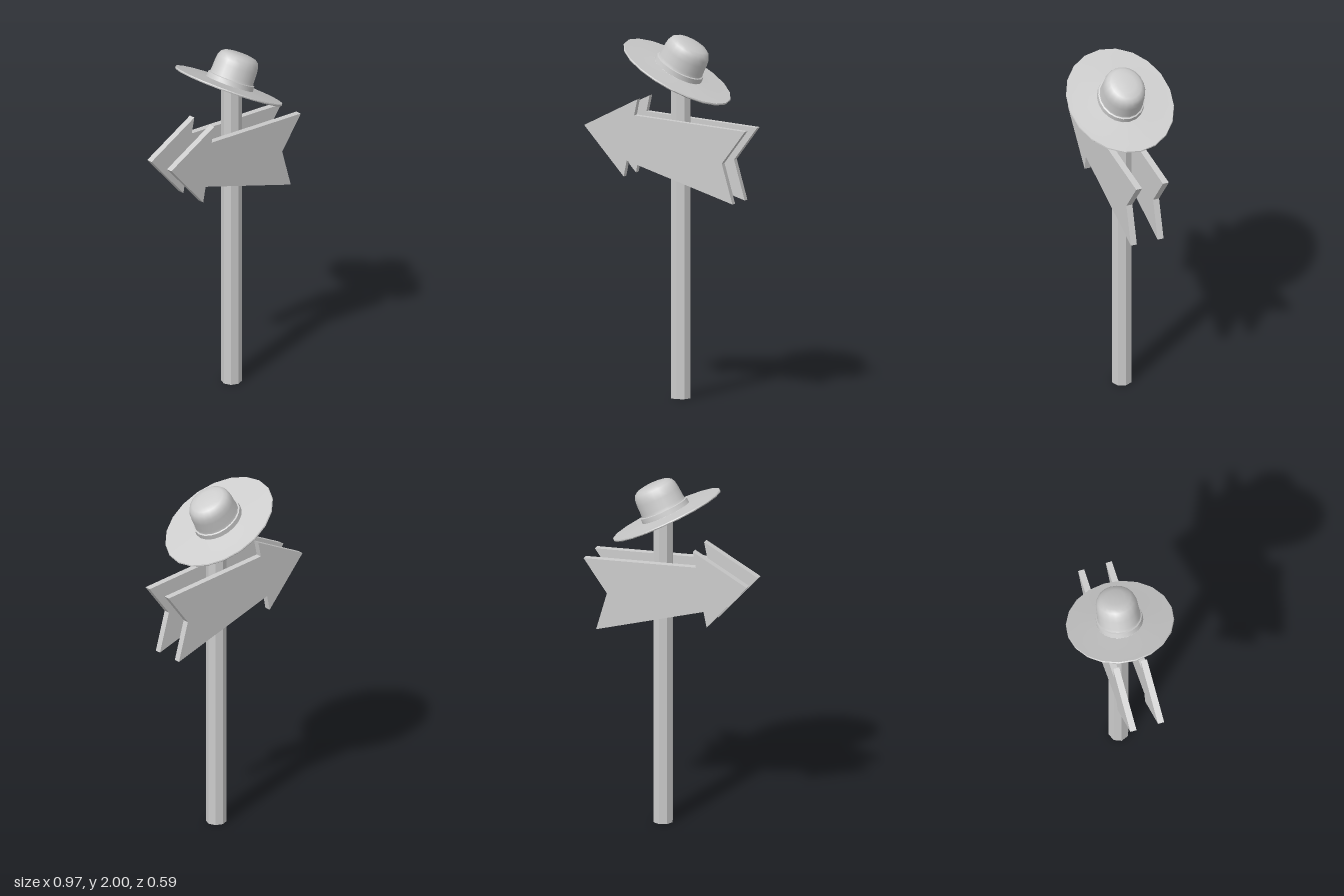
import * as THREE from 'three';
import { toCreasedNormals } from 'three/addons/utils/BufferGeometryUtils.js';

const grey = new THREE.MeshStandardMaterial({ color: 0xcccccc });

function addPart(group, name, geometry) {
  const mesh = new THREE.Mesh(geometry, grey);
  mesh.name = name;
  group.add(mesh);
  return mesh;
}

export function createModel() {
  const model = new THREE.Group();
  model.name = 'signpost';

  // Eight-sided post, ending inside the hat
  const postTop = 1.85;
  const post = addPart(model, 'post',
    toCreasedNormals(new THREE.CylinderGeometry(0.057, 0.057, postTop, 8), 0.5));
  post.position.set(0.05, postTop / 2, -0.003);

  // Two matching arrow boards, in front of and behind the post
  const outline = [
    [-0.488, 1.484], [-0.25, 1.215], [-0.232, 1.304], [0.405, 1.104],
    [0.341, 1.325], [0.48, 1.51], [-0.187, 1.557], [-0.168, 1.647],
  ].map(([x, y]) => new THREE.Vector2(x, y));
  const board = new THREE.ExtrudeGeometry(new THREE.Shape(outline), {
    depth: 0.035, bevelEnabled: false,
  });
  addPart(model, 'frontArrow', board).position.z = 0.056;
  addPart(model, 'backArrow', board).position.z = -0.102;

  // Tilted oval hat
  const hat = new THREE.Group();
  hat.name = 'hat';
  hat.position.set(0.028, 1.797, -0.002);
  hat.rotation.z = -0.494;
  hat.scale.z = 0.89;
  model.add(hat);

  // One shell: hollow inside, underside of the brim, rim, then up over the crown
  const profile = [
    [0, 0.175], [0.09, 0.165], [0.118, 0.125], [0.125, -0.004],
    [0.25, -0.008], [0.329, -0.006], [0.333, 0], [0.33, 0.006],
    [0.25, 0.008], [0.146, 0.014],
    [0.138, 0.022], [0.132, 0.06], [0.13, 0.115], [0.126, 0.145],
    [0.115, 0.168], [0.095, 0.182], [0.06, 0.189], [0, 0.191],
  ].map(([r, y]) => new THREE.Vector2(r, y));
  addPart(hat, 'hatShell', toCreasedNormals(new THREE.LatheGeometry(profile, 20), 0.7));

  // Raised band around the foot of the crown
  const bandProfile = [
    [0.136, 0.006], [0.146, 0.008], [0.143, 0.042], [0.131, 0.046],
  ].map(([r, y]) => new THREE.Vector2(r, y));
  addPart(hat, 'hatBand', toCreasedNormals(new THREE.LatheGeometry(bandProfile, 20), 0.7));

  return model;
}
